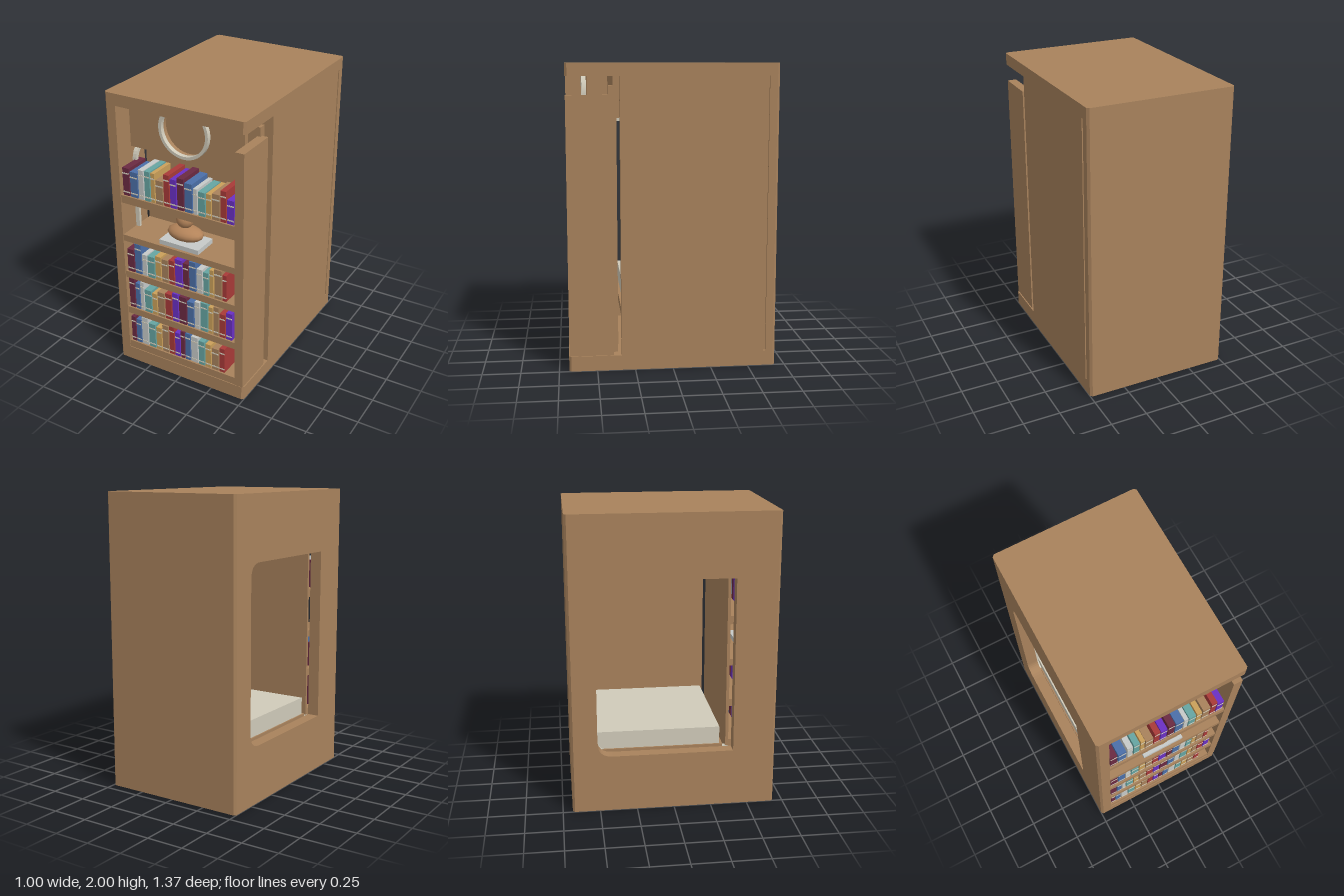
import * as THREE from 'three';

const mat = (name, color) => Object.assign(new THREE.MeshStandardMaterial({ color }), { name });
const wood = mat('wood', 0xa8825c);
const maroon = mat('maroon', 0x6b2a42);
const blue = mat('blue', 0x4b6fa8);
const grey = mat('lightGrey', 0xc6cac8);
const teal = mat('teal', 0x66a5a2);
const ochre = mat('ochre', 0xcba05a);
const red = mat('red', 0xa83a38);
const purple = mat('purple', 0x6a30c4);
const cream = mat('cream', 0xd0cbba);
const clay = mat('clay', 0xb4845a);

export function createModel() {
  const model = new THREE.Group();
  model.name = 'bookcaseCabinet';

  const add = (name, geometry, material, parent = model) => {
    const mesh = new THREE.Mesh(geometry, material);
    mesh.name = name;
    parent.add(mesh);
    return mesh;
  };
  // box from its limits on each axis
  const box = (name, x0, x1, y0, y1, z0, z1, material = wood, parent = model) => {
    const m = add(name, new THREE.BoxGeometry(x1 - x0, y1 - y0, z1 - z0), material, parent);
    m.position.set((x0 + x1) / 2, (y0 + y1) / 2, (z0 + z1) / 2);
    return m;
  };
  // outline in x and z, extruded upward
  const plan = (name, points, y0, y1) => {
    const shape = new THREE.Shape(points.map(([x, z]) => new THREE.Vector2(x, -z)));
    const g = new THREE.ExtrudeGeometry(shape, { depth: y1 - y0, bevelEnabled: false });
    add(name, g.rotateX(-Math.PI / 2).translate(0, y0, 0), wood);
  };
  const roundRect = (target, u0, u1, v0, v1, rStart, rEnd) => {
    target.moveTo(u0 + rStart, v0);
    target.lineTo(u1 - rEnd, v0);
    target.quadraticCurveTo(u1, v0, u1, v0 + rEnd);
    target.lineTo(u1, v1 - rEnd);
    target.quadraticCurveTo(u1, v1, u1 - rEnd, v1);
    target.lineTo(u0 + rStart, v1);
    target.quadraticCurveTo(u0, v1, u0, v1 - rStart);
    target.lineTo(u0, v0 + rStart);
    target.quadraticCurveTo(u0, v0, u0 + rStart, v0);
    return target;
  };
  // outline in z and y, extruded toward -x from the given x
  const sidePlate = (name, shape, x, thickness, material) => {
    const g = new THREE.ExtrudeGeometry(shape, { depth: thickness, bevelEnabled: false, curveSegments: 8 });
    add(name, g.rotateY(-Math.PI / 2).translate(x, 0, 0), material);
  };
  const rect = (u0, u1, v0, v1) => new THREE.Shape([[u0, v0], [u1, v0], [u1, v1], [u0, v1]]
    .map(([u, v]) => new THREE.Vector2(u, v)));

  // base and top slabs with clipped corners
  const W = 0.5, D = 0.685, C = 0.015;
  const slab = [[-W + C, -D], [W - C, -D], [W, -D + C], [W, D - C],
    [W - C, D], [-W + C, D], [-W, D - C], [-W, -D + C]];
  plan('base', slab, 0, 0.1);
  plan('top', slab, 1.92, 2);

  // corner posts
  for (const [sx, sz, inner] of [[-1, -1, 0.42], [1, -1, 0.44], [-1, 1, 0.42]]) {
    plan('cornerPost', [[inner, 0.635], [W, 0.635], [W, D - C], [W - C, D], [inner, D]]
      .map(([x, z]) => [x * sx, z * sz]), 0.1, 1.92);
  }

  // back wall, right-hand wall with a narrow slot, and its front panel
  box('backWall', -0.42, 0.44, 0.1, 1.92, -D, -0.655);
  box('slotEdge', 0.44, 0.5, 0.1, 1.92, -0.635, -0.62);
  box('slotFloor', 0.44, 0.485, 0.1, 1.92, -0.62, -0.605);
  box('sideWall', 0.44, 0.5, 0.1, 1.92, -0.605, 0.34);
  box('sideFrontPanel', 0.43, 0.492, 0.1, 1.8, 0.39, 0.683);
  box('sidePost', 0.42, 0.45, 0.16, 1.86, 0.36, 0.41);

  // window wall, rounded only at the rear corners, with an inner trim
  const wall = rect(-0.635, 0.635, 0.1, 1.92);
  wall.holes.push(roundRect(new THREE.Path(), -0.51, 0.4, 0.39, 1.575, 0.1, 0.002));
  sidePlate('windowWall', wall, -0.42, 0.08, wood);
  const trim = roundRect(new THREE.Shape(), -0.53, 0.535, 0.375, 1.6, 0.11, 0.11);
  trim.holes.push(roundRect(new THREE.Path(), -0.51, 0.515, 0.395, 1.58, 0.1, 0.1));
  sidePlate('windowTrim', trim, -0.39, 0.03, cream);

  // raised floor and cushion inside
  box('innerFloor', -0.42, 0.44, 0.36, 0.41, -0.655, 0.34);
  box('cushion', -0.41, 0.42, 0.41, 0.53, -0.63, 0.32, cream);

  // bookcase back and shelves
  box('bookcaseBack', -0.42, 0.42, 0.1, 1.92, 0.36, 0.38);
  for (const [y0, y1] of [[0.1, 0.155], [0.39, 0.44], [0.68, 0.73], [0.965, 1.01], [1.25, 1.305]]) {
    box('shelf', -0.42, 0.43, y0, y1, 0.38, 0.68);
  }

  // upper panel with a round opening and its ring
  const panel = rect(-0.42, 0.42, 1.6, 1.92);
  const arc = new THREE.Path();
  const reach = Math.asin(0.125 / 0.165);
  // the opening is cut short just below the top slab
  arc.absarc(0, 1.79, 0.165, reach, Math.PI - reach, true);
  arc.closePath();
  panel.holes.push(arc);
  const panelGeo = new THREE.ExtrudeGeometry(panel, { depth: 0.035, bevelEnabled: false, curveSegments: 40 });
  add('upperPanel', panelGeo.translate(0, 0, 0.51), wood);
  const ring = new THREE.Shape();
  ring.absarc(0, 1.79, 0.18, 0, Math.PI * 2);
  const ringHole = new THREE.Path();
  ringHole.absarc(0, 1.79, 0.16, 0, Math.PI * 2);
  ring.holes.push(ringHole);
  const ringGeo = new THREE.ExtrudeGeometry(ring, { depth: 0.03, bevelEnabled: false, curveSegments: 40 });
  add('openingRing', ringGeo.translate(0, 0, 0.545), cream);

  // books: shelf height, then width and height of each in hundredths
  const order = [maroon, blue, grey, teal, ochre, wood, red, purple];
  const rows = [
    [1.305, [4.9, 19.5, 5.6, 17.8, 3.8, 20.6, 4, 20.8, 2.8, 20.6, 5.3, 16.5, 3.9, 22, 4.4, 20,
      4.6, 22, 5.4, 20, 2.8, 17.6, 4.8, 16.5, 3.5, 16.5, 5.2, 17.8, 3.8, 21.3, 4.6, 16.2]],
    [0.73, [5.2, 17, 5, 22.4, 3.5, 16, 5.4, 16, 4.2, 17.8, 4.8, 17, 4, 18, 5.3, 20.3,
      3.9, 19, 4.8, 21.8, 4.2, 18, 3.8, 17, 2.8, 20.2, 5.2, 21.8, 2.8, 19.3]],
    [0.44, [4.2, 23, 3.2, 20.3, 2.6, 22.4, 5.3, 17.5, 3.7, 16.5, 5.3, 19.2, 4.8, 20, 4.4, 22,
      5.7, 21.3, 4.8, 19.5, 3.7, 21, 5.3, 22, 3, 20.5, 3.7, 22, 4.2, 18, 4.2, 20.5]],
    [0.155, [3.2, 20, 3.8, 19, 5, 22, 5.3, 19, 4.3, 18, 4.8, 21.5, 3.8, 22.5, 3.8, 19,
      2.8, 21.5, 3.8, 21.5, 5.2, 20.5, 4.4, 19, 4.2, 18.5, 5.2, 17, 3.8, 19]],
  ];
  for (const [y, sizes] of rows) {
    const row = new THREE.Group();
    row.name = 'bookRow';
    model.add(row);
    let x = -0.407;
    for (let i = 0; i < sizes.length; i += 2) {
      const w = sizes[i] / 100, h = sizes[i + 1] / 100;
      box('book', x, x + w, y, y + h, 0.48, 0.668, order[(i / 2) % 8], row);
      // spine bands
      for (const band of [0.022, h - 0.042]) {
        box('spineBand', x, x + w, y + band, y + band + 0.008, 0.666, 0.671, cream, row);
      }
      x += w + 0.0085;
    }
  }

  // ornament on a small plinth
  box('ornamentPlinth', -0.148, 0.148, 1.01, 1.042, 0.48, 0.66, grey);
  const ball = (name, r, x, y, sy, sz) => {
    const m = add(name, new THREE.SphereGeometry(r, 16, 10), clay);
    m.position.set(x, y, 0.57);
    m.scale.set(1, sy, sz);
  };
  ball('ornamentBody', 0.13, 0, 1.09, 0.4, 0.62);
  ball('ornamentHead', 0.06, 0, 1.19, 1, 1);
  ball('ornamentEar', 0.025, -0.048, 1.215, 1, 1);

  return model;
}
